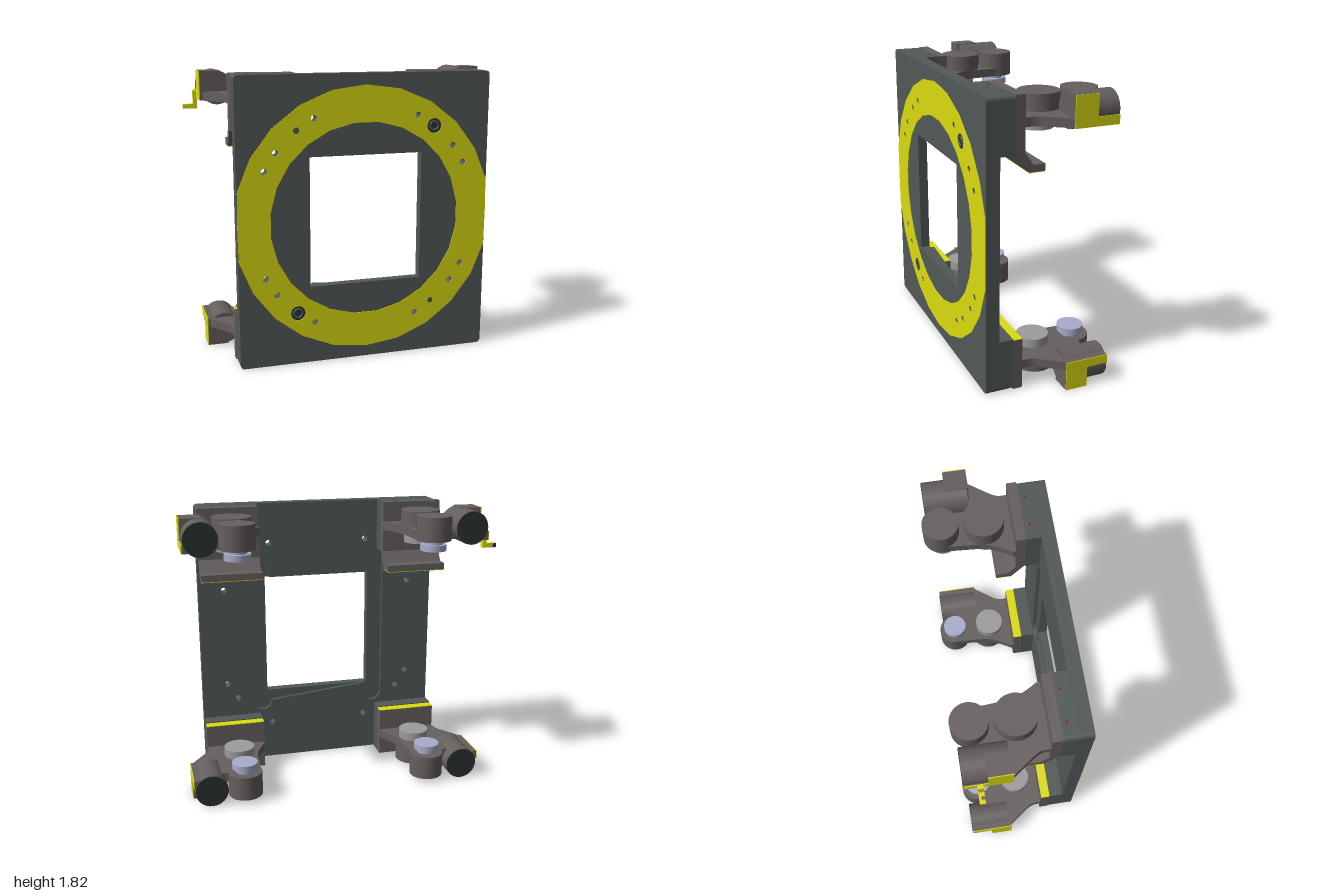
import * as THREE from 'three';

const mat = (color) => new THREE.MeshStandardMaterial({ color });
const plateMat = mat(0x525959), armMat = mat(0x665f5f), yellow = mat(0xdcdc10);
const padMat = mat(0x9c9c9c), blueMat = mat(0xa8adcc), darkMat = mat(0x2c3030);
const redMat = mat(0x8a2020), blueTip = mat(0x2020a0);

const poly = (pts) => new THREE.Shape(pts.map(([x, y]) => new THREE.Vector2(x, y)));
const circle = (x, y, r) => new THREE.Path().absarc(x, y, r, 0, Math.PI * 2, true);

// Extrusion along z between two depths
function slab(shape, z0, z1, curveSegments = 6) {
  return new THREE.ExtrudeGeometry(shape, { depth: z1 - z0, bevelEnabled: false, curveSegments }).translate(0, 0, z0);
}
// Extrusion of a (z, y) profile along x
function alongX(pts, x0, x1) {
  return slab(poly(pts.map(([z, y]) => [-z, y])), x0, x1).rotateY(Math.PI / 2);
}
function box(x0, x1, y0, y1, z0, z1) {
  return new THREE.BoxGeometry(x1 - x0, y1 - y0, z1 - z0)
    .translate((x0 + x1) / 2, (y0 + y1) / 2, (z0 + z1) / 2);
}
function post(x, z, r, y0, y1) {
  return new THREE.CylinderGeometry(r, r, y1 - y0, 32).translate(x, (y0 + y1) / 2, z);
}
function barrel(x, y, r, z0, z1, sides = 32) {
  return new THREE.CylinderGeometry(r, r, z1 - z0, sides).rotateX(Math.PI / 2).translate(x, y, (z0 + z1) / 2);
}
// Mirrored copy with its winding corrected
function mirrored(geo, sx, sy) {
  const g = geo.index ? geo.toNonIndexed() : geo.clone();
  for (const name of ['position', 'normal']) {
    const a = g.attributes[name];
    for (let i = 0; i < a.count; i++) a.setXY(i, a.getX(i) * sx, a.getY(i) * sy);
  }
  if (sx * sy < 0) {
    for (const a of Object.values(g.attributes)) {
      for (let i = 0; i < a.count; i += 3) {
        for (let k = 0; k < a.itemSize; k++) {
          const t = a.getComponent(i + 1, k);
          a.setComponent(i + 1, k, a.getComponent(i + 2, k));
          a.setComponent(i + 2, k, t);
        }
      }
    }
  }
  return g;
}

const W = 0.815, H = 0.91;
const boltSpots = [];
for (const [x, y] of [[0.335, 0.645], [0.575, 0.445], [0.645, 0.335]])
  for (const sx of [-1, 1]) for (const sy of [-1, 1]) boltSpots.push([sx * x, sy * y]);

function plateOutline() {
  const r = 0.025, s = new THREE.Shape();
  s.absarc(W - r, H - r, r, 0, Math.PI / 2);
  s.absarc(-W + r, H - r, r, Math.PI / 2, Math.PI);
  s.absarc(-W + r, -H + r, r, Math.PI, Math.PI * 1.5);
  s.absarc(W - r, -H + r, r, Math.PI * 1.5, Math.PI * 2);
  for (const [x, y] of boltSpots) s.holes.push(circle(x, y, 0.02));
  return s;
}

function addPlate(group) {
  const add = (geo, m, name) => {
    const mesh = new THREE.Mesh(geo, m);
    mesh.name = name;
    group.add(mesh);
  };
  // Front layer with the square window
  const front = plateOutline();
  front.holes.push(poly([[-0.3625, -0.41], [-0.3625, 0.41], [0.3625, 0.41], [0.3625, -0.41]]));
  add(slab(front, 0.325, 0.385), plateMat, 'framePlateFront');

  // Back layer: window widened by a long rounded recess on each side
  const back = plateOutline(), win = new THREE.Path();
  win.moveTo(0.335, -0.41);
  win.absarc(0.4, -0.48, 0.065, Math.PI, Math.PI * 2);
  win.absarc(0.4, 0.48, 0.065, 0, Math.PI);
  win.lineTo(0.335, 0.41);
  win.lineTo(-0.335, 0.41);
  win.absarc(-0.4, 0.48, 0.065, 0, Math.PI);
  win.absarc(-0.4, -0.48, 0.065, Math.PI, Math.PI * 2);
  win.lineTo(-0.335, -0.41);
  back.holes.push(win);
  add(slab(back, 0.3, 0.325), plateMat, 'framePlateBack');

  // Faceted ring, trimmed at the plate sides
  const ngon = (r, n, a0) => Array.from({ length: n }, (_, i) => {
    const a = a0 + (i / n) * Math.PI * 2;
    return [Math.max(-W, Math.min(W, r * Math.cos(a))), r * Math.sin(a)];
  });
  const ring = poly(ngon(0.84, 24, 0));
  ring.holes.push(poly(ngon(0.615, 24, Math.PI / 24)));
  for (const [x, y] of boltSpots) ring.holes.push(circle(x, y, 0.02));
  for (const s of [-1, 1]) {
    ring.holes.push(circle(s * 0.445, s * 0.575, 0.047), circle(-s * 0.445, s * 0.575, 0.02));
    add(barrel(s * 0.445, s * 0.575, 0.046, 0.38, 0.387, 24), darkMat, 'bushing');
    add(new THREE.TorusGeometry(0.027, 0.006, 8, 24).translate(s * 0.445, s * 0.575, 0.387), plateMat, 'bushingRim');
    add(barrel(-s * 0.445, s * 0.575, 0.02, 0.38, 0.386, 16), plateMat, 'dowelHole');
  }
  add(slab(ring, 0.385, 0.39), yellow, 'mountingRing');
}

// Corner unit, written for the upper +x corner and mirrored to the others
function cornerUnit(sx, sy) {
  const unit = new THREE.Group();
  unit.name = (sy > 0 ? 'upper' : 'lower') + (sx > 0 ? 'Left' : 'Right') + 'CornerUnit';
  const add = (geo, m, name) => {
    const mesh = new THREE.Mesh(mirrored(geo, sx, sy), m);
    mesh.name = name;
    unit.add(mesh);
  };
  // Thick corner block with a rounded outer corner
  const block = poly([[0.42, 0.57], [W, 0.57], [W, 0.885]]);
  block.absarc(W - 0.025, H - 0.025, 0.025, 0, Math.PI / 2);
  block.lineTo(0.42, H);
  add(slab(block, 0.21, 0.3), plateMat, 'cornerBlock');
  for (const x of [0.52, 0.71]) add(post(x, 0.245, 0.009, 0.905, 0.912), redMat, 'blockPin');

  // Bracket; the upper ones end in a hook with a yellow underside
  add(box(0.42, W, 0.58, H, 0.15, 0.21), armMat, 'bracket');
  if (sy > 0) {
    add(alongX([[0.15, 0.58], [0.1, 0.505], [0.025, 0.505], [0.025, 0.462], [0.125, 0.462], [0.205, 0.58]], 0.42, W), armMat, 'hook');
    add(box(0.42, W, 0.458, 0.462, 0.025, 0.125), yellow, 'hookPad');
  } else {
    add(box(0.42, W, 0.576, 0.58, 0.15, 0.21), yellow, 'bracketEdge');
  }

  // Flat arm with a curved outer flank
  const arm = poly([[0.42, 0.16], [W, 0.16], [W, 0.12]]);
  arm.quadraticCurveTo(W, 0.085, 0.84, 0.05);
  for (const p of [[0.935, -0.08], [0.935, -0.25], [0.72, -0.28], [0.515, -0.28], [0.5, -0.06]]) arm.lineTo(...p);
  arm.quadraticCurveTo(0.49, 0.02, 0.42, 0.13);
  add(slab(arm, 0, 0.055).rotateX(Math.PI / 2).translate(0, 0.78, 0), armMat, 'arm');

  // Upright housings and the round pads opposite them
  add(post(0.618, -0.02, 0.125, 0.775, 0.88), armMat, 'largeHousing');
  add(post(0.618, -0.28, 0.11, 0.725, 0.88), armMat, 'smallHousing');
  add(post(0.618, -0.01, 0.1, 0.667, 0.727), padMat, 'greyPad');
  add(post(0.618, -0.275, 0.083, 0.66, 0.7), blueMat, 'bluePad');
  add(post(0.618, -0.275, 0.06, 0.7, 0.727), blueMat, 'bluePadNeck');

  // Horizontal barrel held by a stepped side block with a yellow face
  add(barrel(0.842, 0.803, 0.105, -0.358, -0.09), armMat, 'barrel');
  add(barrel(0.842, 0.803, 0.103, -0.361, -0.358), darkMat, 'barrelEnd');
  const step = [[-0.08, 0.725], [-0.08, H], [-0.222, H], [-0.222, 0.78], [-0.358, 0.78], [-0.358, 0.725]].reverse();
  add(alongX(step.slice().reverse(), 0.82, 0.95), armMat, 'sideBlock');
  add(alongX(step.slice().reverse(), 0.95, 0.955), yellow, 'sideFace');
  return unit;
}

// Small notched tab beside the upper corner at -x
function sensorTab() {
  const tab = new THREE.Group();
  tab.name = 'sensorTab';
  const add = (geo, m, name) => {
    const mesh = new THREE.Mesh(geo, m);
    mesh.name = name;
    tab.add(mesh);
  };
  add(box(-0.975, -0.95, 0.66, 0.775, -0.285, -0.25), yellow, 'tabStem');
  add(box(-1.04, -0.975, 0.66, 0.688, -0.285, -0.27), yellow, 'tabBase');
  for (const x of [-1.04, -0.998]) add(box(x, x + 0.022, 0.66, 0.688, -0.27, -0.25), yellow, 'tabProng');
  add(box(-1.04, -1.018, 0.662, 0.686, -0.288, -0.285), blueTip, 'tabTip');
  return tab;
}

export function createModel() {
  const model = new THREE.Group();
  model.name = 'clampingFrame';
  const body = new THREE.Group();
  body.name = 'frame';
  body.position.set(0.04, 0.91, 0);
  addPlate(body);
  for (const sx of [-1, 1]) for (const sy of [-1, 1]) body.add(cornerUnit(sx, sy));
  body.add(sensorTab());
  model.add(body);
  return model;
}
